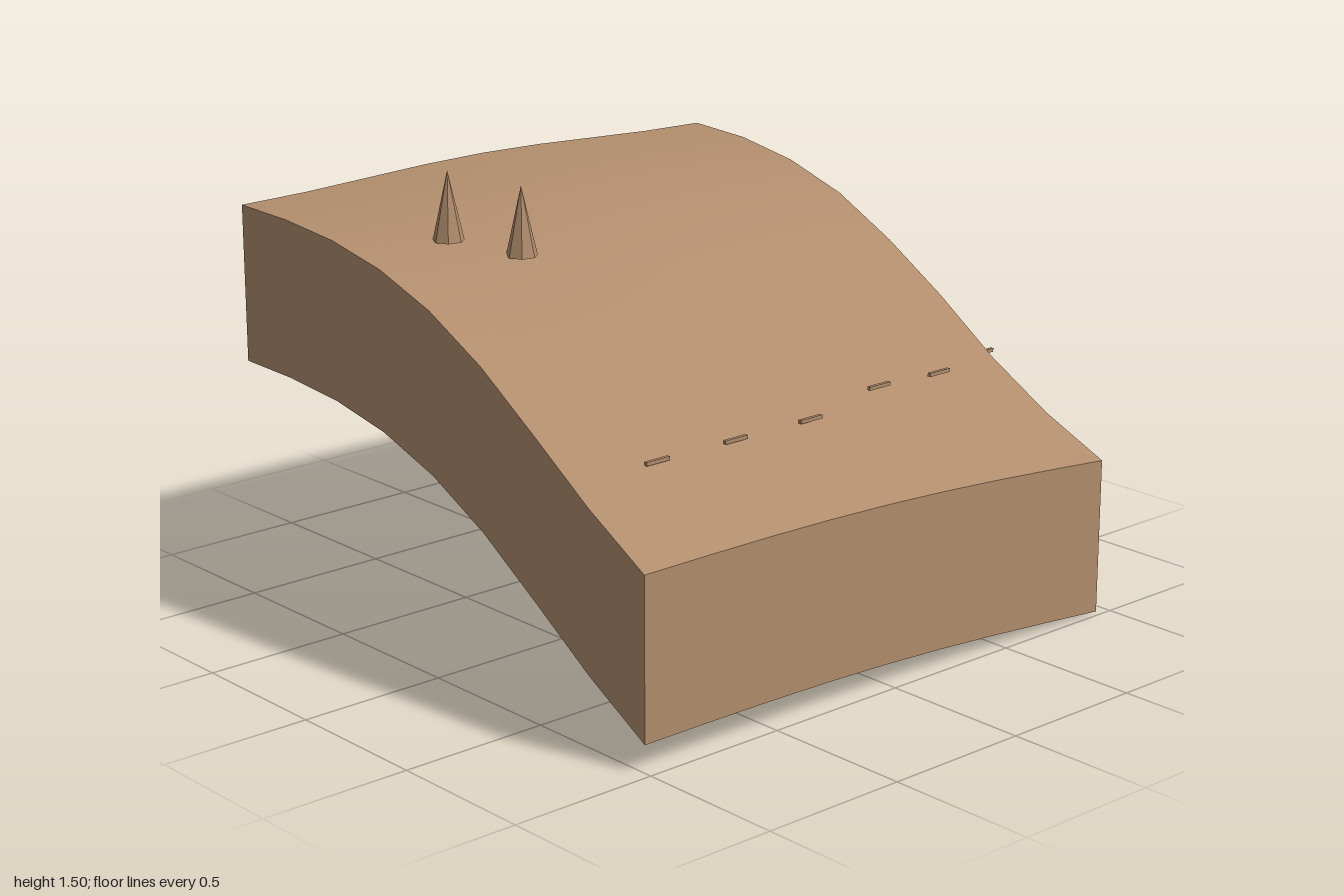
import * as THREE from 'three';

const X0 = -0.98, X1 = 0.975, Z0 = -0.96, Z1 = 1.0, DEPTH = 0.52, N = 8;

// Ground heights along the front and back edges, left to right
const FRONT = [1.33, 1.325, 1.305, 1.26, 1.18, 1.06, 0.905, 0.745, 0.608];
const BACK = [1.317, 1.305, 1.265, 1.19, 1.07, 0.925, 0.76, 0.625, 0.52];

// Ground height: blend of both edges plus a gentle swell between them
// u runs left to right (0..1), t runs front to back (0..1)
function height(u, t) {
  const f = THREE.MathUtils.clamp(u, 0, 1) * N;
  const i = Math.min(Math.floor(f), N - 1);
  const edge = (a) => THREE.MathUtils.lerp(a[i], a[i + 1], f - i);
  const swell = 0.03 * Math.pow(Math.max(Math.sin(Math.PI * t), 0), 2 - u);
  return THREE.MathUtils.lerp(edge(FRONT), edge(BACK), t) + swell;
}

// Moves the vertices of a plane by a rule on its uv coordinates
function sheet(rows, rule) {
  const g = new THREE.PlaneGeometry(1, 1, N, rows);
  const { position: p, uv } = g.attributes;
  for (let i = 0; i < p.count; i++) {
    const [u, t, drop] = rule(uv.getX(i), uv.getY(i));
    p.setXYZ(i, THREE.MathUtils.lerp(X0, X1, u), height(u, t) - drop, THREE.MathUtils.lerp(Z1, Z0, t));
  }
  g.computeVertexNormals();
  return g;
}

export function createModel() {
  const model = new THREE.Group();
  const earth = new THREE.MeshStandardMaterial({ color: 0xb08c6c, side: THREE.DoubleSide });
  earth.name = 'earth brown';
  const spikeMaterial = earth;

  const add = (name, geometry, x = 0, y = 0, z = 0) => {
    const mesh = new THREE.Mesh(geometry, spikeMaterial);
    mesh.name = name;
    mesh.position.set(x, y, z);
    model.add(mesh);
  };

  // Rolling ground surface
  add('ground', sheet(N, (u, v) => [u, v, 0]));

  // Skirt walls following the ground; the underside stays open
  const walls = {
    frontWall: (s) => [s, 0],
    rightWall: (s) => [1, s],
    backWall: (s) => [1 - s, 1],
    leftWall: (s) => [0, 1 - s],
  };
  for (const [name, path] of Object.entries(walls)) {
    add(name, sheet(1, (s, v) => [...path(s), (1 - v) * DEPTH]));
  }

  // Two seven-sided trees
  for (const [x, base, z] of [[-0.33, 1.28, 0.67], [-0.165, 1.235, 0.51]]) {
    const cone = new THREE.ConeGeometry(0.051, 0.225, 7).toNonIndexed();
    cone.computeVertexNormals();
    add('tree', cone, x, base + 0.1125, z);
  }

  // Row of small slats running across the slope
  const slats = [
    [0.655, 0.797, 0.67], [0.65, 0.794, 0.35], [0.637, 0.787, 0.025],
    [0.605, 0.82, -0.305], [0.55, 0.787, -0.635], [0.445, 0.77, -0.955],
  ];
  for (const [x, y, z] of slats) {
    add('slat', new THREE.BoxGeometry(0.012, 0.012, 0.09), x, y, z);
  }

  return model;
}
